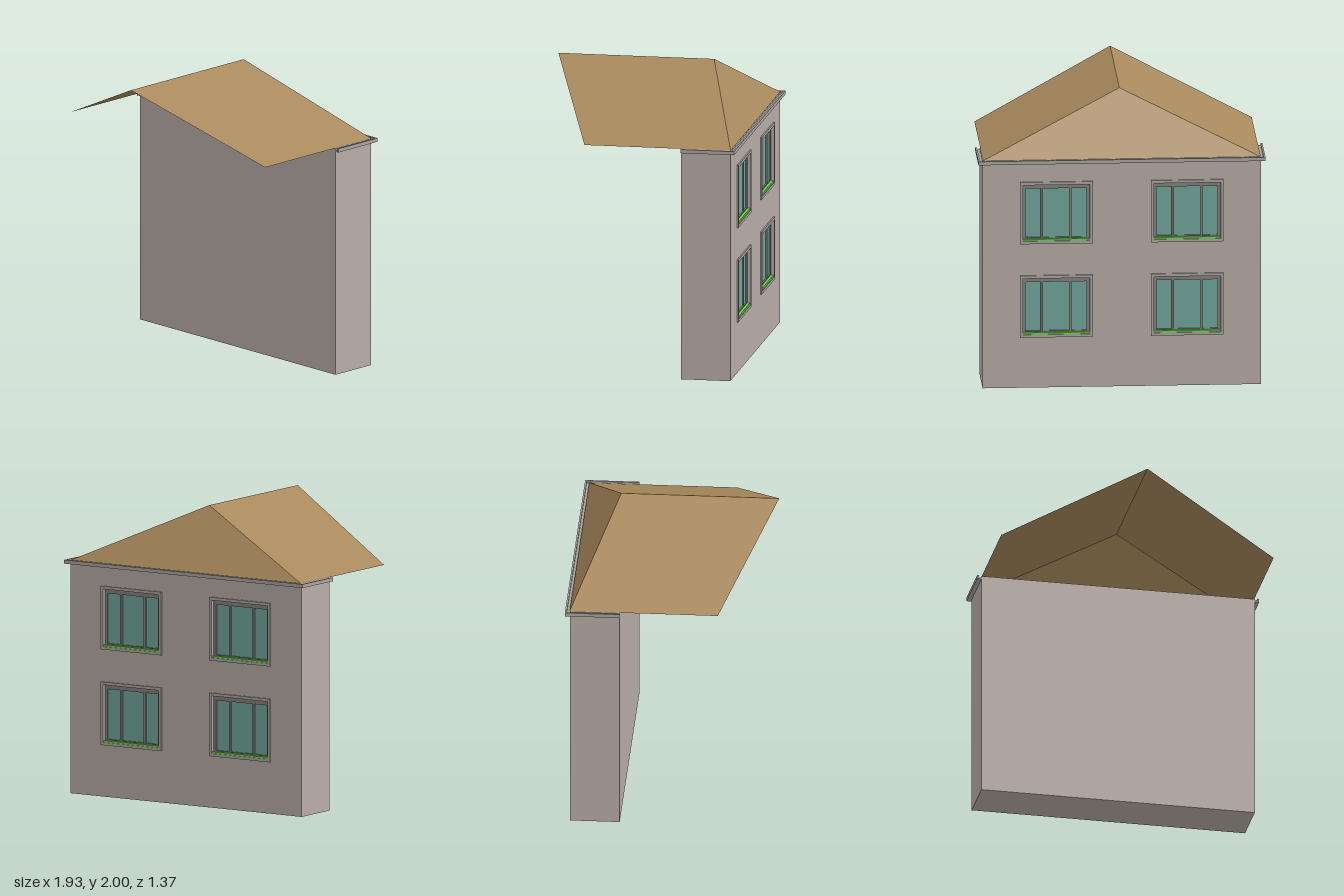
import * as THREE from 'three';

const mat = (color, side = THREE.FrontSide) => new THREE.MeshStandardMaterial({ color, side });
const wallMat = mat(0xb8aca6);
const trimMat = mat(0xaaa5a2);
const frameMat = mat(0x86807d);
const glassMat = mat(0x6fa59b);
const sillMat = mat(0x66dd44);
const roofMat = mat(0xa8895c, THREE.DoubleSide);

const BACK = -0.655, FRONT = -0.32, HALF = 0.935, TOP = 1.58;
const RECESS = 0.03, W = 0.45, H = 0.39;      // window opening
const CENTRES = [];
for (const x of [-0.44, 0.44]) for (const y of [0.565, 1.215]) CENTRES.push([x, y]);

function add(parent, name, geometry, material) {
  const mesh = new THREE.Mesh(geometry, material);
  mesh.name = name;
  parent.add(mesh);
  return mesh;
}

// Box given by its min and max corners
function box(parent, name, material, x0, x1, y0, y1, z0, z1) {
  const mesh = add(parent, name, new THREE.BoxGeometry(x1 - x0, y1 - y0, z1 - z0), material);
  mesh.position.set((x0 + x1) / 2, (y0 + y1) / 2, (z0 + z1) / 2);
  return mesh;
}

function rect(path, x0, x1, y0, y1) {
  return path.moveTo(x0, y0).lineTo(x1, y0).lineTo(x1, y1).lineTo(x0, y1).closePath();
}

// Rectangular plate with rectangular holes, thickness along z
function plate(outer, holes, depth) {
  const shape = rect(new THREE.Shape(), ...outer);
  for (const h of holes) shape.holes.push(rect(new THREE.Path(), ...h));
  return new THREE.ExtrudeGeometry(shape, { depth, bevelEnabled: false });
}

function makeWindow(x, y) {
  const g = new THREE.Group();
  g.name = 'window';
  g.position.set(x, y, BACK);
  const w = W / 2, h = H / 2, t = 0.02;
  // Raised surround
  add(g, 'surround', plate([-w - t, w + t, -h - t, h + t], [[-w, w, -h, h]], 0.012), trimMat)
    .position.z = -0.01;
  // Three recessed panes divided by two mullions
  const m = 0.095, b = 0.008;
  const panes = [[-w + t, -m - b], [-m + b, m - b], [m + b, w - t]]
    .map(([x0, x1]) => [x0, x1, -h + t, h - 0.03]);
  add(g, 'frame', plate([-w, w, -h, h], panes, 0.015), frameMat).position.z = 0.014;
  box(g, 'glass', glassMat, -w, w, -h, h, 0.024, RECESS);
  // Green inner sill
  box(g, 'sill', sillMat, -w, w, -h, -h + 0.012, -0.004, 0.014);
  return g;
}

// Flat panels, each a fan of corner points
function panels(list) {
  const pos = [];
  for (const p of list)
    for (let i = 1; i < p.length - 1; i++) pos.push(...p[0], ...p[i], ...p[i + 1]);
  const geo = new THREE.BufferGeometry();
  geo.setAttribute('position', new THREE.Float32BufferAttribute(pos, 3));
  geo.computeVertexNormals();
  return geo;
}

export function createModel() {
  const model = new THREE.Group();
  model.name = 'house';

  // Building body and the back wall with window openings
  box(model, 'body', wallMat, -HALF, HALF, 0, TOP, BACK + RECESS, FRONT);
  const holes = CENTRES.map(([x, y]) => [x - W / 2, x + W / 2, y - H / 2, y + H / 2]);
  add(model, 'backWall', plate([-HALF, HALF, 0, TOP], holes, RECESS), wallMat).position.z = BACK;
  for (const [x, y] of CENTRES) model.add(makeWindow(x, y));

  // Gutter: flat base with a raised outer rim on three sides
  const gutter = new THREE.Group();
  gutter.name = 'gutter';
  model.add(gutter);
  const out = 0.965, zo = -0.687, rim = 0.012;
  box(gutter, 'gutterBackBase', trimMat, -out, out, 1.56, 1.57, zo, BACK);
  box(gutter, 'gutterBackRim', trimMat, -out, out, 1.57, 1.585, zo, zo + rim);
  for (const s of [-1, 1]) {
    const side = (name, a, b, y0, y1, z0) =>
      box(gutter, name, trimMat, Math.min(s * a, s * b), Math.max(s * a, s * b), y0, y1, z0, FRONT);
    side('gutterSideBase', HALF, out, 1.56, 1.57, BACK);
    side('gutterSideRim', out - rim, out, 1.57, 1.585, zo + rim);
  }

  // Open roof: two slopes with a raking front edge and a hip at the back
  const ridgeF = [0, 2, 0.687], ridgeB = [0, 2, -0.375];
  const eave = (s, z) => [s * 0.932, 1.583, z];
  const zf = 0.34, zb = -0.657;
  add(model, 'roof', panels([
    [ridgeF, eave(1, zf), eave(1, zb), ridgeB],
    [ridgeF, ridgeB, eave(-1, zb), eave(-1, zf)],
    [ridgeB, eave(1, zb), eave(-1, zb)],
  ]), roofMat);

  return model;
}
